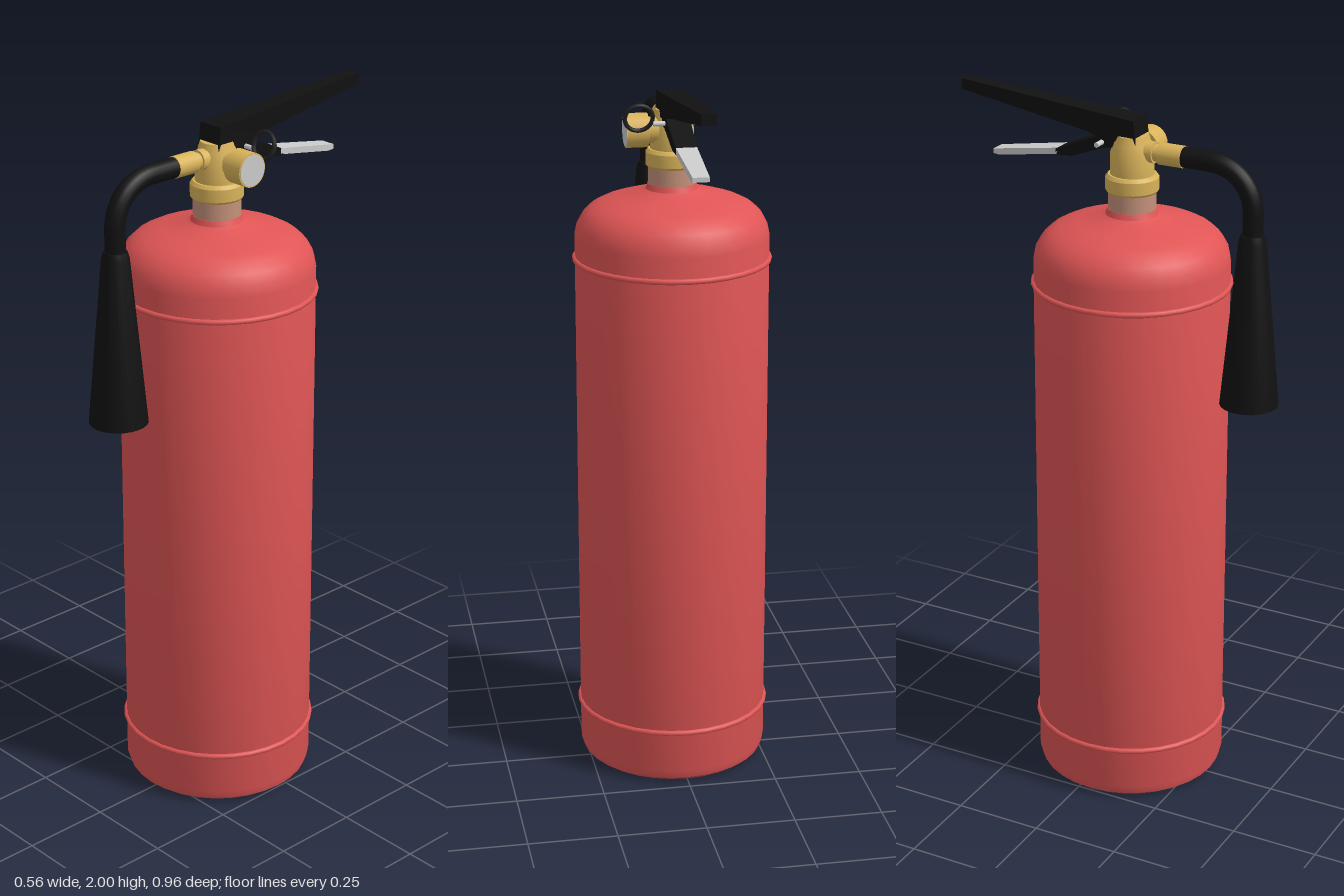
import * as THREE from 'three';
import { toCreasedNormals } from 'three/addons/utils/BufferGeometryUtils.js';

const mat = (color) => new THREE.MeshStandardMaterial({ color });
const CZ = 0.04; // axis of the tank

export function createModel() {
  const root = new THREE.Group();
  const red = mat(0xe05555), brass = mat(0xd9b35a), copper = mat(0xc4917a);
  const black = mat(0x111111), grey = mat(0xcccccc);

  const add = (name, geo, material, x = 0, y = 0, z = 0) => {
    const mesh = new THREE.Mesh(geo, material);
    mesh.name = name;
    mesh.position.set(x, y, z);
    root.add(mesh);
    return mesh;
  };
  const lathe = (pts, seg = 32) => toCreasedNormals(
    new THREE.LatheGeometry(pts.map(([r, y]) => new THREE.Vector2(r, y)), seg), 0.6);

  // Tank: dished base, straight wall, domed shoulder and short neck
  add('tank', lathe([
    [0, 0.035], [0.08, 0.035], [0.1, 0.028], [0.19, 0.02], [0.225, 0], [0.245, 0.002],
    [0.262, 0.015], [0.27, 0.04], [0.27, 1.56], [0.264, 1.59], [0.249, 1.617], [0.227, 1.638],
    [0.2, 1.652], [0.15, 1.668], [0.085, 1.683], [0.073, 1.69], [0.067, 1.705], [0, 1.705],
  ]), red, 0, 0, CZ);
  for (const y of [0.16, 1.495]) {
    add('tankBand', new THREE.TorusGeometry(0.27, 0.008, 8, 32).rotateX(Math.PI / 2), red, 0, y, CZ);
  }

  // Valve stack
  add('neck', new THREE.CylinderGeometry(0.066, 0.066, 0.07, 24), copper, 0, 1.73, CZ);
  add('collar', lathe([
    [0, 1.752], [0.068, 1.752], [0.073, 1.758], [0.073, 1.793], [0.066, 1.802], [0, 1.802],
  ], 24), brass, 0, 0, CZ);
  add('valveBody', lathe([
    [0, 1.8], [0.06, 1.8], [0.06, 1.86], [0.052, 1.885], [0.045, 1.91], [0, 1.91],
  ], 24), brass, 0, 0, CZ);

  // Outlet fitting towards the hose
  const alongZ = (r, len) => new THREE.CylinderGeometry(r, r, len, 20).rotateX(Math.PI / 2);
  add('outletNeck', alongZ(0.023, 0.08), brass, 0, 1.868, 0.105);
  add('outletFlange', alongZ(0.029, 0.03), brass, 0, 1.868, 0.095);
  add('outletSleeve', alongZ(0.03, 0.07), brass, 0, 1.868, 0.16);

  // Pressure gauge on the left side
  const alongX = (r, len) => new THREE.CylinderGeometry(r, r, len, 24).rotateZ(-Math.PI / 2);
  add('gaugeStem', alongX(0.036, 0.06), brass, 0.05, 1.855, 0.033);
  add('gaugeCase', alongX(0.047, 0.06), brass, 0.1, 1.855, 0.033);
  add('gaugeFace', alongX(0.043, 0.006), grey, 0.129, 1.855, 0.033);

  // Hose
  const hose = new THREE.CurvePath();
  const v = (y, z) => new THREE.Vector3(0, y, z);
  hose.add(new THREE.LineCurve3(v(1.868, 0.18), v(1.868, 0.27)));
  hose.add(new THREE.CubicBezierCurve3(v(1.868, 0.27), v(1.868, 0.345), v(1.815, 0.4), v(1.74, 0.4)));
  hose.add(new THREE.LineCurve3(v(1.74, 0.4), v(1.64, 0.4)));
  add('hose', new THREE.TubeGeometry(hose, 28, 0.028, 16), black);

  // Discharge horn, hollow at the mouth
  add('horn', lathe([
    [0, 1.26], [0.064, 1.25], [0.074, 1.2], [0.081, 1.2], [0.038, 1.665], [0.032, 1.685], [0, 1.685],
  ], 24), black, 0, 0, 0.4);

  // Levers: side outline in (z, y), extruded across x, narrowing to the back
  const lever = (name, outline, material, halfWidth) => {
    const shape = new THREE.Shape(outline.map(([z, y]) => new THREE.Vector2(z, y)));
    const geo = new THREE.ExtrudeGeometry(shape, { depth: 2, bevelEnabled: false });
    geo.rotateY(-Math.PI / 2).translate(1, 0, 0);
    const p = geo.attributes.position;
    for (let i = 0; i < p.count; i++) p.setX(i, p.getX(i) * halfWidth(p.getZ(i)));
    geo.computeVertexNormals();
    return add(name, geo, material);
  };
  lever('topLever', [
    [0.07, 1.893], [-0.03, 1.895], [-0.08, 1.91], [-0.478, 1.97], [-0.478, 2], [0.062, 1.957],
  ], black, (z) => 0.0375 + 0.036 * z);
  lever('bottomLeverRoot', [
    [0.03, 1.88], [-0.03, 1.87], [-0.13, 1.832], [-0.18, 1.829], [-0.18, 1.846], [-0.05, 1.9], [0.03, 1.9],
  ], black, (z) => 0.034 + 0.03 * z);
  lever('bottomLever', [
    [-0.17, 1.832], [-0.36, 1.8], [-0.38, 1.802], [-0.38, 1.815], [-0.17, 1.849],
  ], grey, (z) => 0.034 + 0.03 * z);

  // Safety pin with pull ring
  add('safetyPin', alongX(0.007, 0.13), grey, 0, 1.885, -0.035);
  const ring = add('pullRing', new THREE.TorusGeometry(0.038, 0.006, 8, 28), mat(0x222222), 0.104, 1.902, -0.035);
  ring.rotation.x = -0.3;

  return root;
}
